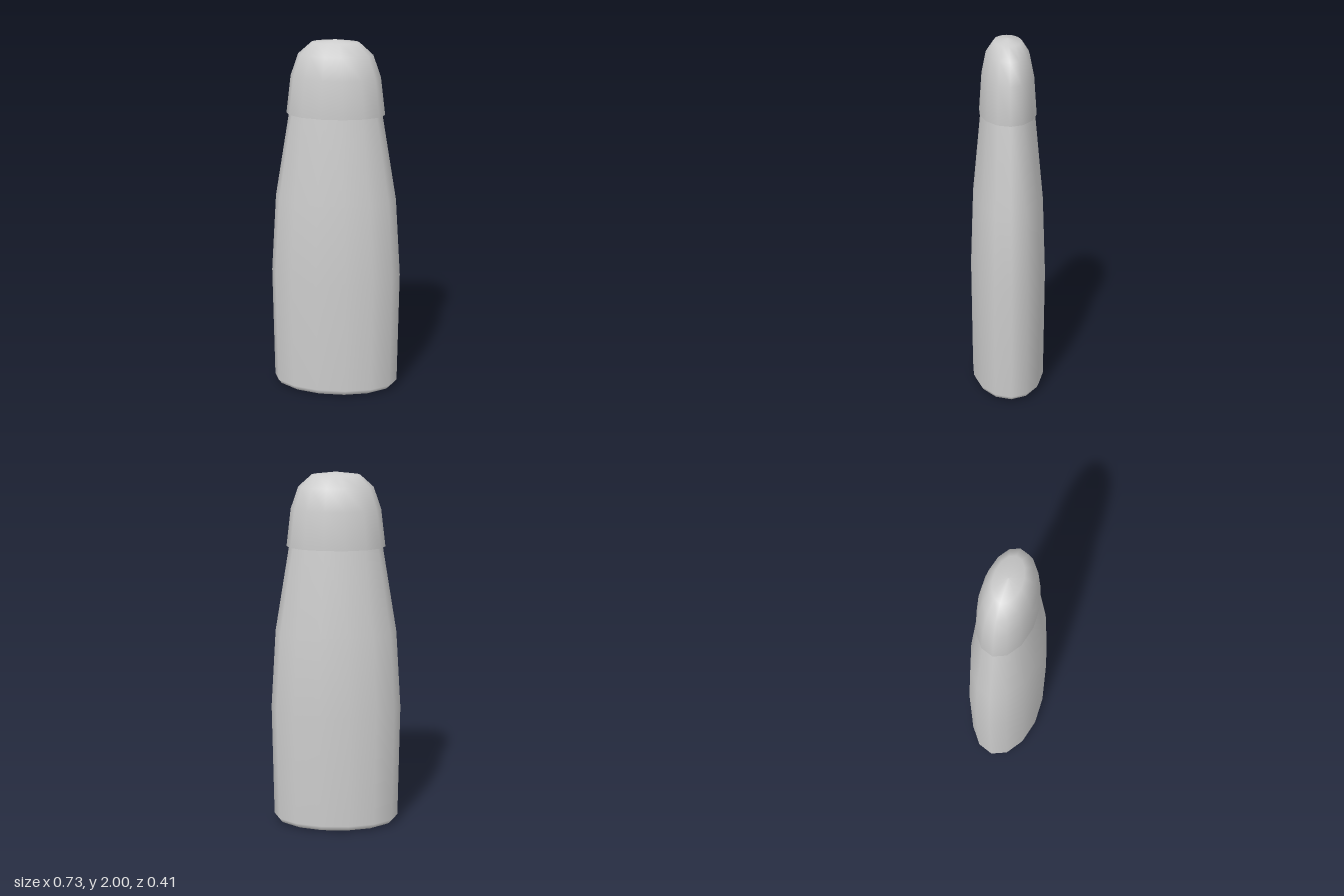
import * as THREE from 'three';

const SIDES = 14;
const DEPTH = 0.579; // depth of the oval section relative to its width

// Oval lathe with a corner on the +x and -x axes
function ovalLathe(name, profile, material) {
  const points = profile.map(([r, y]) => new THREE.Vector2(r, y));
  const geometry = new THREE.LatheGeometry(points, SIDES, Math.PI / 2);
  geometry.scale(1, 1, DEPTH);
  const mesh = new THREE.Mesh(geometry, material);
  mesh.name = name;
  return mesh;
}

export function createModel() {
  const group = new THREE.Group();
  group.name = 'bottle';
  const material = new THREE.MeshStandardMaterial({ color: 0xcccccc });

  // Bottle body: bevelled foot, gentle belly, tapering shoulder
  group.add(ovalLathe('body', [
    [0, 0], [0.318, 0.004], [0.336, 0.012], [0.354, 0.035],
    [0.363, 0.68], [0.335, 1.12], [0.255, 1.6],
  ], material));

  // Domed cap with a small overhanging lip
  group.add(ovalLathe('cap', [
    [0.24, 1.594], [0.27, 1.594], [0.245, 1.8],
    [0.203, 1.92], [0.13, 1.985], [0, 2],
  ], material));

  return group;
}
